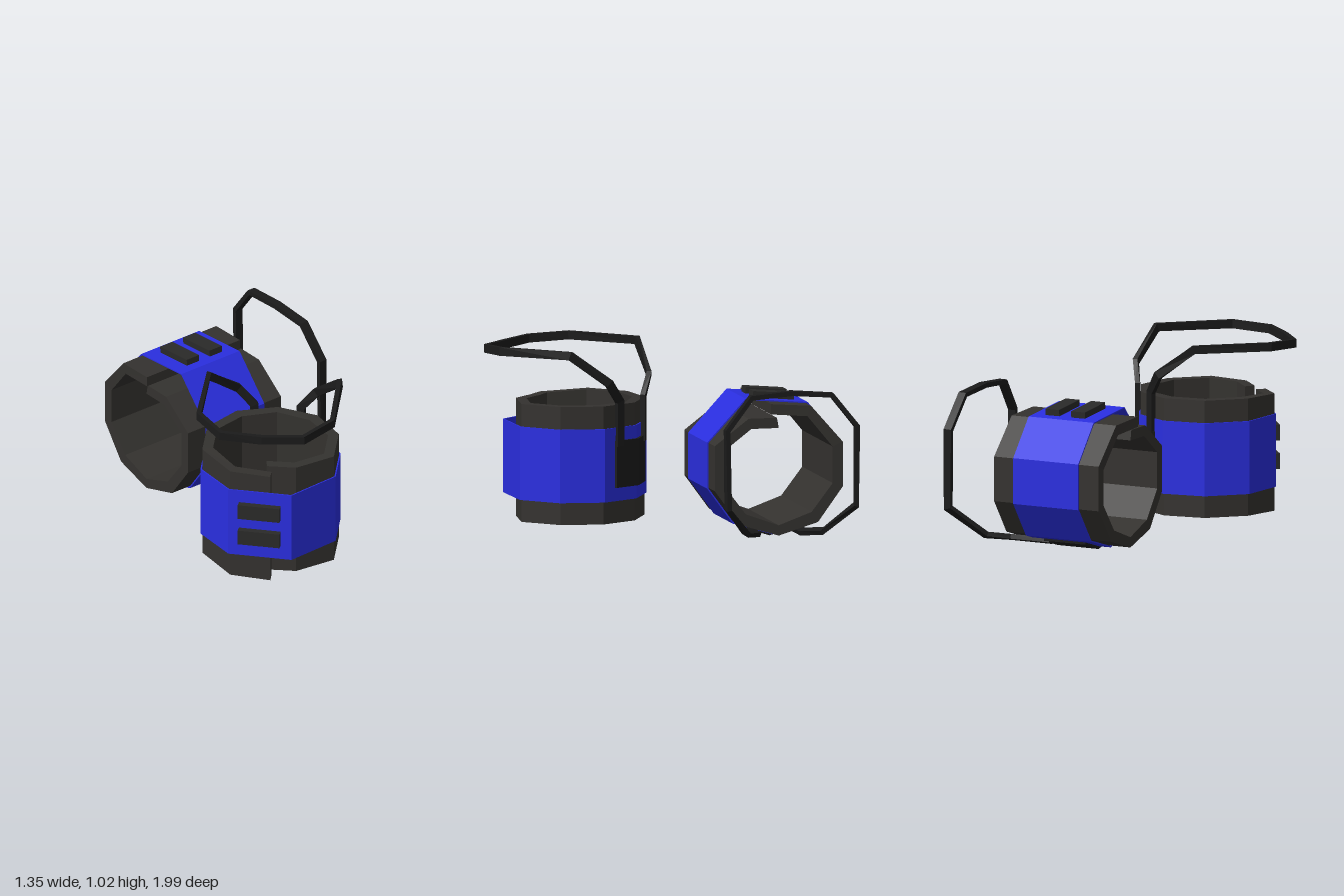
import * as THREE from 'three';

const paint = (color) => new THREE.MeshStandardMaterial({ color, flatShading: true });
const grey = paint(0x34322f), blue = paint(0x2a2ee0), black = paint(0x1b1b1b), dark = paint(0x2a2a29);
const V = (x, y, z) => new THREE.Vector3(x, y, z);

// Skin a row of four-cornered sections; either a closed ring or capped at both ends.
function loft(sections, closed = false) {
  const tris = [];
  const quad = (a, b, c, d) => tris.push([a, b, c], [a, c, d]);
  const n = sections.length;
  for (let i = 0; i < (closed ? n : n - 1); i++) {
    const s = sections[i], t = sections[(i + 1) % n];
    for (let j = 0; j < 4; j++) quad(s[j], s[(j + 1) % 4], t[(j + 1) % 4], t[j]);
  }
  if (!closed) {
    const e = sections[n - 1];
    quad(...[...sections[0]].reverse());
    quad(...e);
  }
  // Turn all faces outward
  const volume = tris.reduce((sum, [a, b, c]) => sum + a.dot(b.clone().cross(c)), 0);
  if (volume < 0) tris.forEach((t) => t.reverse());
  const geo = new THREE.BufferGeometry().setFromPoints(tris.flat());
  geo.computeVertexNormals();
  return geo;
}

// Upright wall between an outer and an inner outline of [x, z] points.
function wall(outer, inner, y0, y1, closed = false, drop = []) {
  return loft(outer.map(([x, z], i) => {
    const [u, w] = inner[i], d = drop[i] || 0;
    return [V(x, y0 - d, z), V(x, y1 - d, z), V(u, y1 - d, w), V(u, y0 - d, w)];
  }), closed);
}

// Flat strap along a path, its thin side always facing away from the cuff axis.
function strap(path, width, thick) {
  return loft(path.map((p, i) => {
    const a = path[Math.max(i - 1, 0)], b = path[Math.min(i + 1, path.length - 1)];
    const t1 = p.clone().sub(a).normalize(), t2 = b.clone().sub(p).normalize();
    const t = t1.add(t2).normalize();
    const side = t.clone().cross(V(p.x, 0, p.z)).normalize();
    const out = side.clone().cross(t).normalize();
    return [[1, 1], [1, -1], [-1, -1], [-1, 1]].map(([u, v]) =>
      p.clone().addScaledVector(side, u * width / 2).addScaledVector(out, v * thick / 2));
  }));
}

function createCuff(name) {
  const cuff = new THREE.Group();
  cuff.name = name;
  const add = (part, geo, mat) => {
    const mesh = new THREE.Mesh(geo, mat);
    mesh.name = part;
    cuff.add(mesh);
    return mesh;
  };

  // Thick ten-sided lining whose ends overlap at the front
  const outer = [[0.01, 0.265], [0.165, 0.265], [0.35, 0.125], [0.35, -0.115], [0.215, -0.3], [0, -0.365],
    [-0.215, -0.3], [-0.35, -0.115], [-0.35, 0.125], [-0.18, 0.32], [0.035, 0.335]];
  const inner = [[0, 0.21], [0.15, 0.21], [0.295, 0.1], [0.295, -0.095], [0.18, -0.245], [0, -0.31],
    [-0.18, -0.245], [-0.295, -0.095], [-0.295, 0.1], [-0.16, 0.265], [0.035, 0.28]];
  const drop = outer.map((_, i) => Math.max(0, i - 8) * 0.0125);
  add('lining', wall(outer, inner, 0.09, 0.72, false, drop), grey);

  // Thin coloured shell around the middle
  const shell = [[0.15, 0.355], [0.36, 0.128], [0.36, -0.118], [0.22, -0.31], [0, -0.375],
    [-0.22, -0.31], [-0.36, -0.118], [-0.36, 0.128], [-0.19, 0.325]];
  add('shell', wall(shell, shell.map(([x, z]) => [x * 0.98, z * 0.98]), 0.208, 0.6, true), blue);

  // Two closing tabs on the front
  for (const y of [0.4875, 0.3325]) {
    const tab = add('closingTab', new THREE.BoxGeometry(0.225, 0.083, 0.034), dark);
    tab.position.set(-0.022, y, 0.357);
    tab.rotation.y = -0.088;
  }

  // Bent back plate that anchors the strap
  add('backPlate', wall([[-0.15, -0.343], [0, -0.39], [0.15, -0.343]],
    [[-0.15, -0.32], [0, -0.36], [0.15, -0.32]], 0.28, 0.53), black);

  // Strap loop: up the back, out and forward over the opening
  const half = [[0.125, 0.5, -0.345], [0.125, 0.74, -0.345], [0.21, 0.845, -0.33], [0.35, 0.997, -0.175],
    [0.355, 0.993, 0.245], [0.22, 0.98, 0.415]];
  const path = [...half.map(([x, y, z]) => V(-x, y, z)), V(0, 0.976, 0.432),
    ...half.map(([x, y, z]) => V(x, y, z)).reverse()];
  add('strapLoop', strap(path, 0.045, 0.026), black);
  return cuff;
}

export function createModel() {
  const model = new THREE.Group();
  model.name = 'cuffPair';

  const standing = createCuff('standingCuff');
  standing.position.set(0.3, 0, 0.545);

  // The second cuff lies on its back, turned by 45 degrees
  const lying = createCuff('lyingCuff');
  const s = Math.SQRT1_2;
  lying.quaternion.setFromRotationMatrix(new THREE.Matrix4().makeBasis(V(s, 0, s), V(s, 0, -s), V(0, 1, 0)));
  lying.position.set(-0.207, 0.39, -0.313).sub(V(0, 0.405, 0).applyQuaternion(lying.quaternion));

  model.add(standing, lying);
  return model;
}
